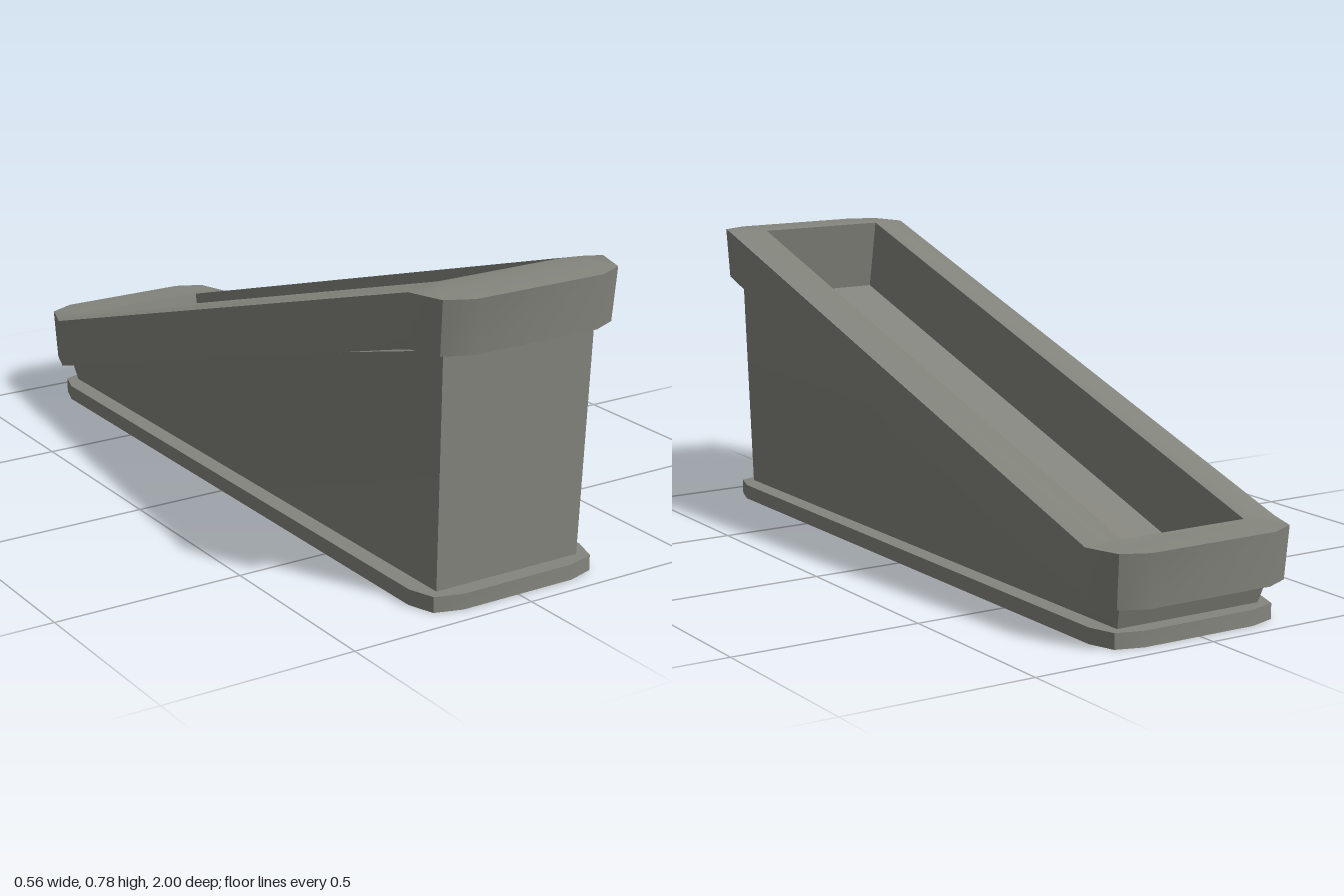
import * as THREE from 'three';
import { toCreasedNormals } from 'three/addons/utils/BufferGeometryUtils.js';

// Height of the sloping top: level at both ends, a straight ramp between
const ramp = (z) => 0.513 + 0.312 * THREE.MathUtils.clamp(z, -0.86, 0.86);

// Mirrors one corner (front edge to side edge) into a closed loop, counterclockwise from above
function loop(corner, height, shiftZ = 0) {
  const back = [...corner].reverse();
  const points = [
    ...corner,
    ...back.map(([x, z]) => [x, -z]),
    ...corner.map(([x, z]) => [-x, -z]),
    ...back.map(([x, z]) => [-x, z]),
  ];
  return points.map(([x, z]) => new THREE.Vector3(x, height(z + shiftZ), z + shiftZ));
}

// Skins a stack of loops, with optional end caps
function loft(loops, capStart, capEnd) {
  const positions = [];
  const tri = (a, b, c) => {
    if (new THREE.Triangle(a, b, c).getArea() < 1e-7) return;
    for (const p of [a, b, c]) positions.push(p.x, p.y, p.z);
  };
  const n = loops[0].length;
  for (let k = 0; k + 1 < loops.length; k++) {
    for (let i = 0; i < n; i++) {
      const j = (i + 1) % n;
      tri(loops[k][i], loops[k][j], loops[k + 1][j]);
      tri(loops[k][i], loops[k + 1][j], loops[k + 1][i]);
    }
  }
  const first = loops[0];
  const last = loops[loops.length - 1];
  for (let i = 1; i + 1 < n; i++) {
    if (capStart) tri(first[0], first[i + 1], first[i]);
    if (capEnd) tri(last[0], last[i], last[i + 1]);
  }
  const geometry = new THREE.BufferGeometry();
  geometry.setAttribute('position', new THREE.Float32BufferAttribute(positions, 3));
  return toCreasedNormals(geometry, 0.55);
}

export function createModel() {
  const model = new THREE.Group();
  const stone = new THREE.MeshStandardMaterial({ color: 0x84857d });
  stone.name = 'grey stone';
  const add = (name, geometry) => {
    const mesh = new THREE.Mesh(geometry, stone);
    mesh.name = name;
    model.add(mesh);
  };
  const square = (x, z) => [[x, z], [x, z], [x, z]];

  // Base plate with clipped corners
  const plate = [[0.16, 0.95], [0.232, 0.928], [0.255, 0.86]];
  add('basePlate', loft([loop(plate, () => 0), loop(plate, () => 0.04)], true, true));

  // Wedge body, flaring slightly upward to the underside of the rim
  add('body', loft([
    loop(square(0.208, 0.905), () => 0.04),
    loop(square(0.218, 0.928), (z) => ramp(z) - 0.14),
  ], false, false));

  // Overhanging rim, running over the lip and down into the sloping trough
  const under = (z) => ramp(z) - 0.142;
  const opening = loop(square(0.18, 0.865), ramp, -0.015);
  const floor = opening.map((p) => p.clone().add(new THREE.Vector3(0, -0.19, 0.037)));
  add('rim', loft([
    loop(square(0.205, 0.91), under),
    loop([[0.178, 0.987], [0.246, 0.955], [0.275, 0.87]], under),
    loop([[0.18, 1], [0.25, 0.967], [0.28, 0.875]], (z) => ramp(z) - 0.006),
    loop([[0.175, 0.92], [0.205, 0.905], [0.22, 0.87]], ramp),
    opening,
  ], false, false));
  add('trough', loft([opening, floor], false, true));

  return model;
}
